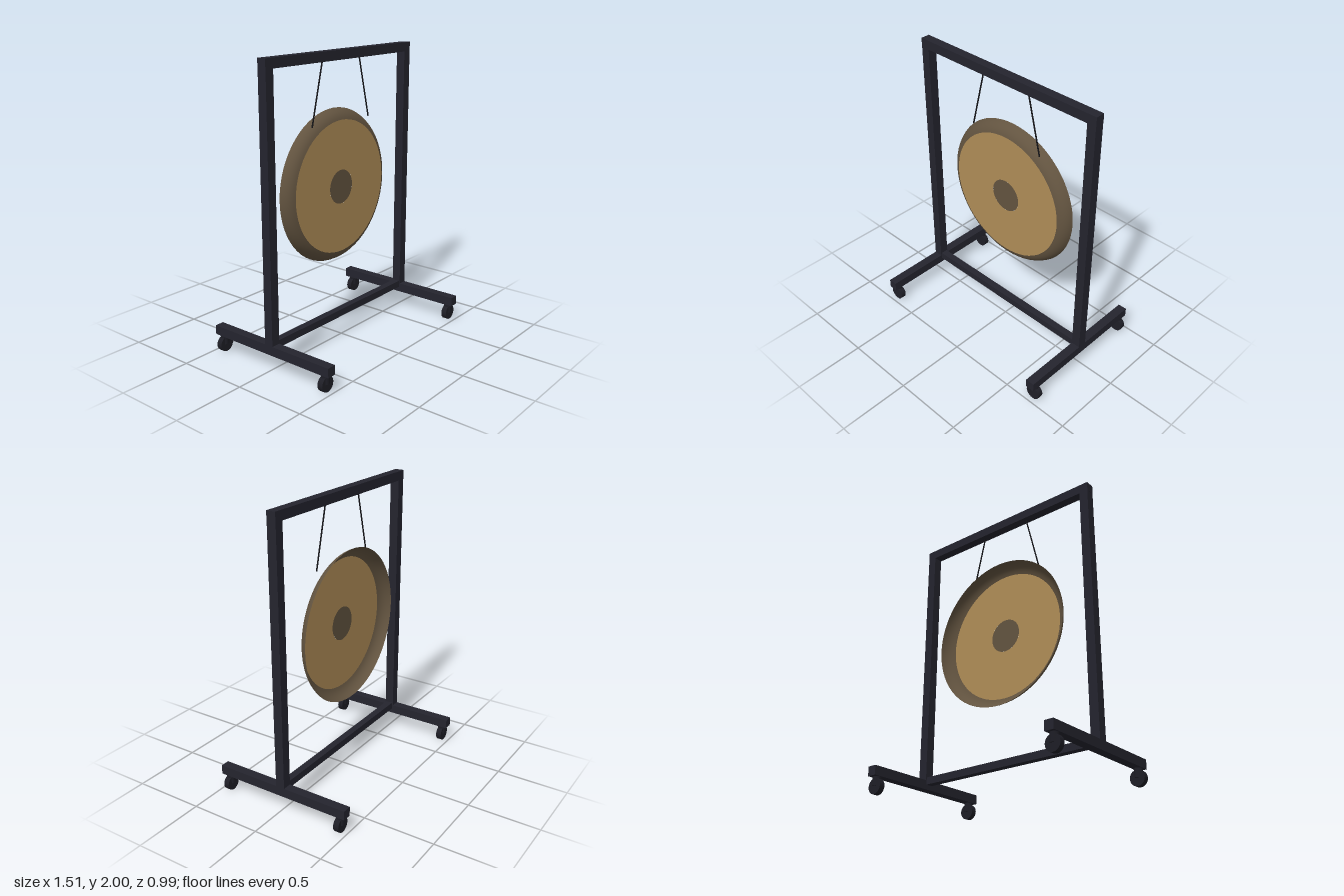
import * as THREE from 'three';

export function createModel() {
  const model = new THREE.Group();
  model.name = 'gongOnStand';

  const material = (name, color, side = THREE.FrontSide) => {
    const m = new THREE.MeshStandardMaterial({ color, side });
    m.name = name;
    return m;
  };
  const frameBlack = material('frameBlack', 0x24242e);
  const casterBlack = material('casterBlack', 0x1e1e26);
  const cordBlack = material('cordBlack', 0x141418);
  const bronze = material('bronze', 0xb08d57, THREE.DoubleSide);
  const darkBronze = material('darkBronze', 0x635440, THREE.DoubleSide);

  const add = (parent, name, geometry, mat, x = 0, y = 0, z = 0) => {
    const mesh = new THREE.Mesh(geometry, mat);
    mesh.name = name;
    mesh.position.set(x, y, z);
    parent.add(mesh);
    return mesh;
  };
  const box = (name, w, h, d, x, y, z) =>
    add(model, name, new THREE.BoxGeometry(w, h, d), frameBlack, x, y, z);

  // Cross bars of the frame
  box('topBeam', 1.47, 0.064, 0.064, 0, 1.968, 0);
  box('bottomRail', 1.36, 0.05, 0.05, 0, 0.175, 0);

  // Posts, feet, casters and cords, mirrored left and right
  for (const side of [1, -1]) {
    const label = side > 0 ? 'left' : 'right';
    box(label + 'Post', 0.064, 1.85, 0.064, side * 0.702, 1.045, 0);
    box(label + 'Foot', 0.064, 0.064, 0.99, side * 0.702, 0.148, 0);

    for (const end of [1, -1]) {
      const caster = new THREE.Group();
      caster.name = label + (end > 0 ? 'Front' : 'Back') + 'Caster';
      caster.position.set(side * 0.702, 0, end * 0.445);
      add(caster, 'stem', new THREE.CylinderGeometry(0.028, 0.028, 0.062, 16), casterBlack, 0, 0.086, 0);
      add(caster, 'wheel', new THREE.CylinderGeometry(0.053, 0.053, 0.039, 20), casterBlack, 0, 0.053, 0)
        .rotation.x = Math.PI / 2;
      model.add(caster);
    }

    const cord = new THREE.LineCurve3(
      new THREE.Vector3(side * 0.188, 1.945, 0),
      new THREE.Vector3(side * 0.293, 1.525, 0));
    add(model, label + 'Cord', new THREE.TubeGeometry(cord, 1, 0.005, 8), cordBlack);
  }

  // Gong: a flat disc with a rim curving back, open behind
  const gong = new THREE.Group();
  gong.name = 'gong';
  gong.position.set(0, 1.08, 0);
  model.add(gong);

  add(gong, 'face', new THREE.RingGeometry(0.117, 0.457, 64), bronze);
  add(gong, 'centreSpot', new THREE.CircleGeometry(0.117, 48), darkBronze);

  const shoulder = new THREE.QuadraticBezierCurve(
    new THREE.Vector2(0.457, 0),
    new THREE.Vector2(0.511, -0.016),
    new THREE.Vector2(0.53, -0.072));
  const rim = new THREE.LatheGeometry(shoulder.getPoints(8).reverse(), 64);
  rim.rotateX(Math.PI / 2);
  add(gong, 'rim', rim, darkBronze);

  return model;
}
